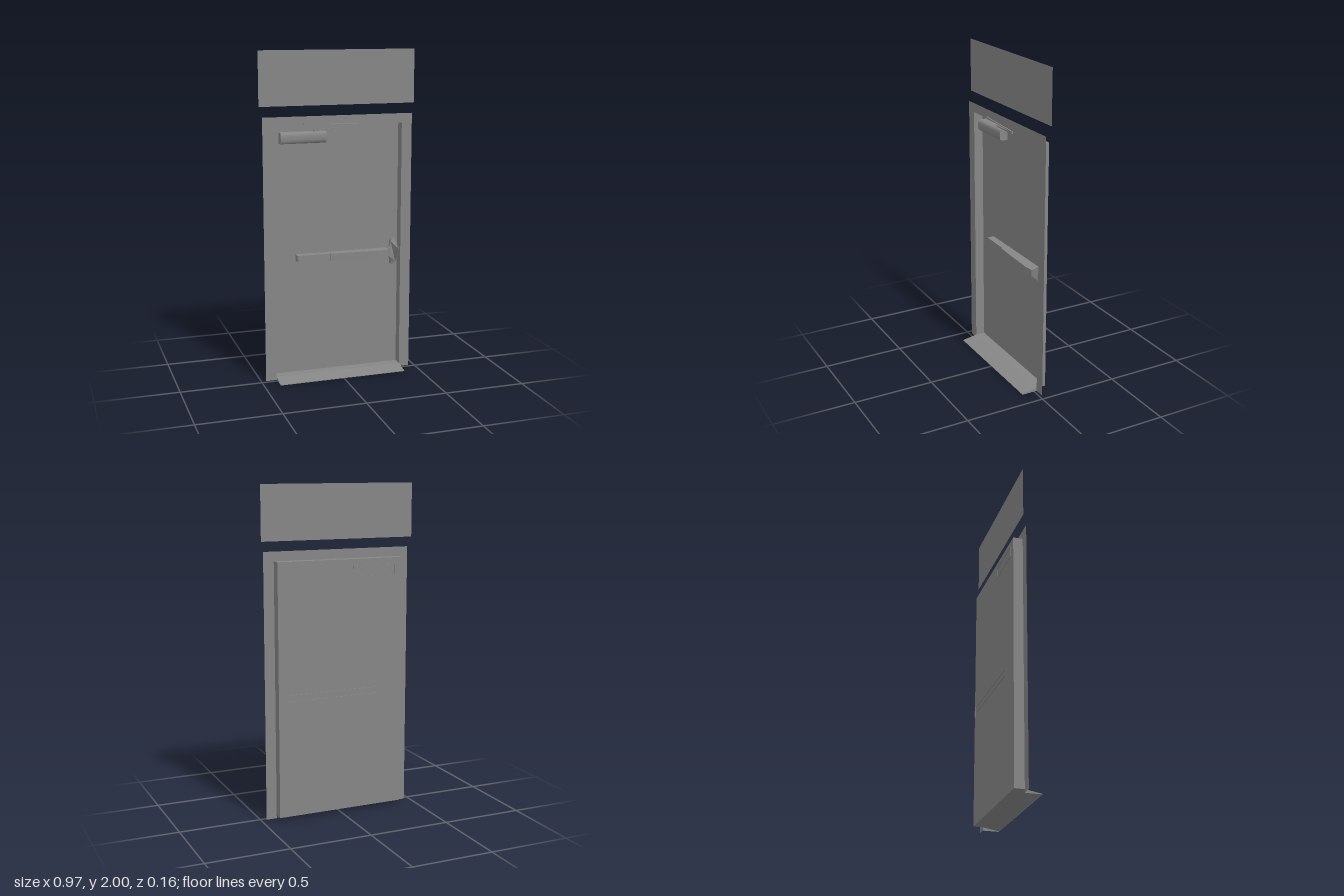
import * as THREE from 'three';
import { toCreasedNormals } from 'three/addons/utils/BufferGeometryUtils.js';

const material = new THREE.MeshStandardMaterial({ color: 0x868686, side: THREE.DoubleSide });

// Main levels: opening edges and depth planes
const L = -0.403, R = 0.4, SILL = 0.02, HEAD = 1.558;
const FACE = -0.018, BACK = -0.077, RIM = -0.081;

export function createModel() {
  const model = new THREE.Group();

  const add = (name, geometry, parent = model) => {
    const mesh = new THREE.Mesh(geometry, material);
    mesh.name = name;
    parent.add(mesh);
    return mesh;
  };
  const group = (name) => {
    const g = new THREE.Group();
    g.name = name;
    model.add(g);
    return g;
  };
  const shapeOf = (points) => new THREE.Shape(points.map(([a, b]) => new THREE.Vector2(a, b)));
  const extrude = (shape, depth) => new THREE.ExtrudeGeometry(shape, { depth, bevelEnabled: false });
  // Plan outline of [x, z] points raised from y0 to y1
  const fromPlan = (points, y0, y1) =>
    extrude(shapeOf(points.map(([x, z]) => [x, -z])), y1 - y0).rotateX(-Math.PI / 2).translate(0, y0, 0);
  // Side profile of [z, y] points run from x0 to x1
  const fromSide = (points, x0, x1) =>
    extrude(shapeOf(points.map(([z, y]) => [-z, y])), x1 - x0).rotateY(Math.PI / 2).translate(x0, 0, 0);
  const box = (x0, x1, y0, y1, z0, z1) =>
    new THREE.BoxGeometry(x1 - x0, y1 - y0, z1 - z0)
      .translate((x0 + x1) / 2, (y0 + y1) / 2, (z0 + z1) / 2);
  const sheet = (x0, x1, y0, y1, z) =>
    new THREE.PlaneGeometry(x1 - x0, y1 - y0).translate((x0 + x1) / 2, (y0 + y1) / 2, z);
  const rectangle = (x0, x1, y0, y1) => [[x0, y0], [x1, y0], [x1, y1], [x0, y1]];
  // Folded sheet following [z, y] points, spanning x0 to x1
  const folded = (points, x0, x1) => {
    const plane = new THREE.PlaneGeometry(1, 1, 1, points.length - 1);
    points.forEach(([z, y], i) => {
      plane.attributes.position.setXYZ(2 * i, x0, y, z);
      plane.attributes.position.setXYZ(2 * i + 1, x1, y, z);
    });
    const geometry = plane.toNonIndexed();
    geometry.computeVertexNormals();
    return geometry;
  };

  // Flat panel above the door
  add('transomPanel', sheet(-0.485, 0.485, 1.675, 2, -0.04));

  // Thin face frame around the opening
  add('frame', new THREE.ShapeGeometry(shapeOf([
    [-0.47, 0], [L, 0], [L, HEAD], [R, HEAD], [R, 0], [0.465, 0], [0.465, 1.615], [-0.47, 1.615],
  ])).translate(0, 0, FACE));

  // Recess lining and door leaf
  const depth = FACE - BACK, mid = (FACE + BACK) / 2;
  const recess = group('recess');
  for (const [name, x] of [['rightJamb', L], ['leftJamb', R]]) {
    add(name, new THREE.PlaneGeometry(depth, HEAD - SILL).rotateY(Math.PI / 2)
      .translate(x, (HEAD + SILL) / 2, mid), recess);
  }
  add('header', new THREE.PlaneGeometry(R - L, depth).rotateX(-Math.PI / 2)
    .translate((L + R) / 2, HEAD, mid), recess);
  add('doorLeaf', sheet(L, R, SILL, HEAD, BACK));

  // Recess floor running out into a sloping threshold, open underneath
  const threshold = group('threshold');
  add('thresholdSheet', folded([[BACK, SILL], [FACE, SILL], [0.081, 0.003], [0.081, 0]], L, R), threshold);
  for (const x of [L, R]) {
    add('thresholdEnd', new THREE.ShapeGeometry(shapeOf([[-0.081, 0], [-FACE, 0], [-FACE, SILL], [-0.081, 0.003]]))
      .rotateY(Math.PI / 2).translate(x, 0, 0), threshold);
  }

  // Door closer: rounded body, rim behind the leaf and folding arms
  const closer = group('doorCloser');
  add('closerBody', toCreasedNormals(fromSide([
    [BACK, 1.453], [-0.034, 1.453], [-0.026, 1.461], [-0.023, 1.474],
    [-0.023, 1.499], [-0.026, 1.512], [-0.034, 1.52], [BACK, 1.52],
  ], -0.358, -0.077), 0.8), closer);
  const rim = shapeOf(rectangle(-0.358, -0.077, 1.453, 1.52));
  rim.holes.push(shapeOf(rectangle(-0.355, -0.08, 1.456, 1.517)));
  add('closerRim', extrude(rim, BACK - RIM).translate(0, 0, RIM), closer);
  const rod = (name, a, b, height, width) => {
    const from = new THREE.Vector3(...a), to = new THREE.Vector3(...b);
    const mesh = add(name, new THREE.BoxGeometry(width, height, from.distanceTo(to)), closer);
    mesh.position.copy(from).lerp(to, 0.5);
    mesh.lookAt(to);
  };
  rod('lowerArm', [-0.145, 1.525, -0.048], [0.118, 1.552, 0], 0.008, 0.008);
  rod('upperArm', [0.118, 1.559, 0], [-0.215, 1.568, -0.011], 0.006, 0.008);
  add('elbowPin', new THREE.CylinderGeometry(0.005, 0.005, 0.016, 12)
    .translate(0.115, 1.555, -0.001), closer);
  add('armSpindle', new THREE.CylinderGeometry(0.008, 0.008, 0.014, 12)
    .translate(-0.145, 1.525, -0.048), closer);
  add('armBracket', box(-0.223, -0.211, 1.564, 1.573, -0.021, -0.007), closer);

  // Push bar: slim rail and thicker tapering pad
  const bar = group('pushBar');
  add('rail', fromPlan([[-0.26, BACK], [-0.26, -0.037], [-0.25, -0.032], [-0.055, -0.029], [-0.055, BACK]],
    0.732, 0.77), bar);
  add('pad', fromPlan([[-0.055, BACK], [-0.055, -0.022], [0, -0.018], [0.26, -0.009], [0.325, -0.016], [0.325, BACK]],
    0.728, 0.771), bar);

  // Latch head: [offset from centre height, right edge, left edge], swelling forward in the middle
  const edges = [
    [0.02, 0.325, 0.393], [0.027, 0.333, 0.392], [0.034, 0.341, 0.389], [0.045, 0.347, 0.385],
    [0.065, 0.349, 0.382], [0.076, 0.35, 0.382], [0.083, 0.356, 0.376],
  ];
  const centre = 0.749, down = edges.slice().reverse();
  const head = extrude(shapeOf([
    ...edges.map(([t, , x]) => [x, centre + t]), ...down.map(([t, x]) => [x, centre + t]),
    ...edges.map(([t, x]) => [x, centre - t]), ...down.map(([t, , x]) => [x, centre - t]),
  ]), 1);
  const p = head.attributes.position;
  for (let i = 0; i < p.count; i++) {
    const front = -0.058 + 0.042 / (1 + ((p.getY(i) - centre) / 0.034) ** 4);
    p.setZ(i, p.getZ(i) > 0.5 ? front : BACK);
  }
  head.computeVertexNormals();
  add('latchHead', toCreasedNormals(head, 0.8), bar);

  // Narrow rims showing through the back of the leaf
  for (const y of [0.731, 0.769]) {
    add('barRim', box(-0.253, 0.347, y - 0.002, y + 0.002, RIM, BACK), bar);
  }
  add('latchRim', box(0.388, 0.391, 0.712, 0.785, RIM, BACK), bar);

  return model;
}
